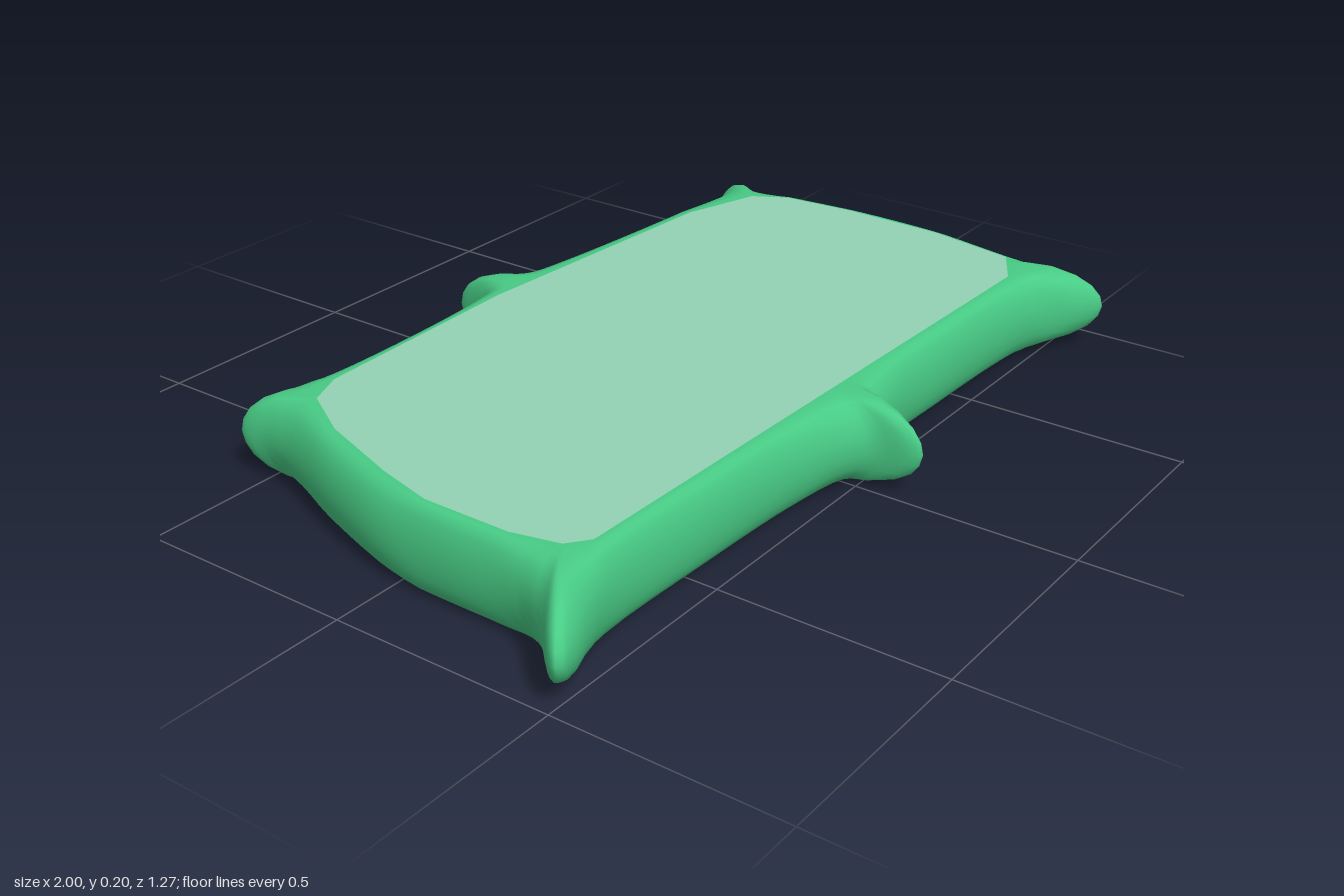
import * as THREE from 'three';

// Outer silhouette seen from above, x,z pairs running back -> right -> front -> left
const OUTLINE = [
  -.71, -.55, -.69, -.565, -.64, -.53, -.56, -.495, -.45, -.48, -.24, -.48, -.09, -.495, .01, -.525,
  .04, -.575, .06, -.63, .08, -.64, .095, -.63, .12, -.555, .15, -.52, .245, -.495, .51, -.465,
  .725, -.455, .86, -.465, .98, -.505, .995, -.485, .955, -.41, .935, -.345, .95, -.185, .96, 0,
  .945, .19, .905, .38, .9, .46, .95, .58, .945, .6, .885, .57, .805, .515, .68, .49,
  .4, .48, .22, .48, .11, .505, .067, .53, .05, .61, .03, .635, .015, .61, -.01, .525,
  -.16, .48, -.45, .46, -.77, .46, -.975, .525, -1, .51, -.92, .415, -.875, .325, -.865, .135,
  -.855, -.025, -.8, -.21, -.73, -.39, -.71, -.48,
];
// Border of the pale top panel
const PANEL = [
  -.56, -.425, -.025, -.44, .66, -.395, .85, -.335, .895, -.255, .91, -.08, .905, .165, .865, .38,
  .76, .44, 0, .425, -.755, .41, -.8, .375, -.825, .27, -.825, .07, -.79, -.065, -.72, -.265, -.645, -.39,
];

const toPoints = (list) =>
  Array.from({ length: list.length / 2 }, (_, i) => new THREE.Vector3(list[2 * i], 0, list[2 * i + 1]));

// Nearest point on a closed polygon
function nearest(p, polygon) {
  let best = null;
  const line = new THREE.Line3();
  polygon.forEach((a, i) => {
    line.set(a, polygon[(i + 1) % polygon.length]);
    const q = line.closestPointToPoint(p, true, new THREE.Vector3());
    if (!best || q.distanceTo(p) < best.distanceTo(p)) best = q;
  });
  return best;
}

// Cushion-like slab: rings blend from the silhouette (s = 0) to the panel border (s = 1)
function slabGeometry(outer, inner) {
  const profile = [
    [1, .007], [.75, .008], [.5, .012], [.28, .028], [.12, .05], [.03, .075], [0, .1],
    [.03, .125], [.12, .15], [.28, .173], [.5, .19], [.75, .195], [1, .195],
  ];
  const n = outer.length;
  const positions = [];
  const index = [];
  for (const [s, y] of profile) {
    outer.forEach((p, i) => {
      const q = p.clone().lerp(inner[i], s);
      positions.push(q.x, y, q.z);
    });
  }
  const bottom = positions.length / 3;
  const top = bottom + 1;
  positions.push(0, 0, 0, 0, .195, 0);
  const last = (profile.length - 1) * n;
  for (let i = 0; i < n; i++) {
    const j = (i + 1) % n;
    for (let r = 0; r < last; r += n) {
      const a = r + i, b = r + j, c = r + n + j, d = r + n + i;
      index.push(a, c, b, a, d, c);
    }
    index.push(bottom, i, j, top, last + j, last + i);
  }
  const geometry = new THREE.BufferGeometry();
  geometry.setAttribute('position', new THREE.Float32BufferAttribute(positions, 3));
  geometry.setIndex(index);
  geometry.computeVertexNormals();
  return geometry;
}

export function createModel() {
  const group = new THREE.Group();
  group.name = 'spikedSlab';

  const border = toPoints(PANEL);
  const curve = new THREE.CatmullRomCurve3(toPoints(OUTLINE), true);
  const outer = curve.getPoints(208).slice(0, -1);
  const inner = outer.map((p) => nearest(p, border));

  // Rounded green body with corner and mid-edge spikes
  const body = new THREE.Mesh(
    slabGeometry(outer, inner),
    new THREE.MeshStandardMaterial({ color: 0x48cb85 }),
  );
  body.name = 'body';
  group.add(body);

  // Pale flat panel on top
  const shape = new THREE.Shape(border.map((p) => new THREE.Vector2(p.x, -p.z)));
  const panel = new THREE.Mesh(
    new THREE.ShapeGeometry(shape).rotateX(-Math.PI / 2),
    new THREE.MeshStandardMaterial({ color: 0x93d3b6, side: THREE.DoubleSide }),
  );
  panel.name = 'topPanel';
  panel.position.y = .198;
  group.add(panel);

  return group;
}
